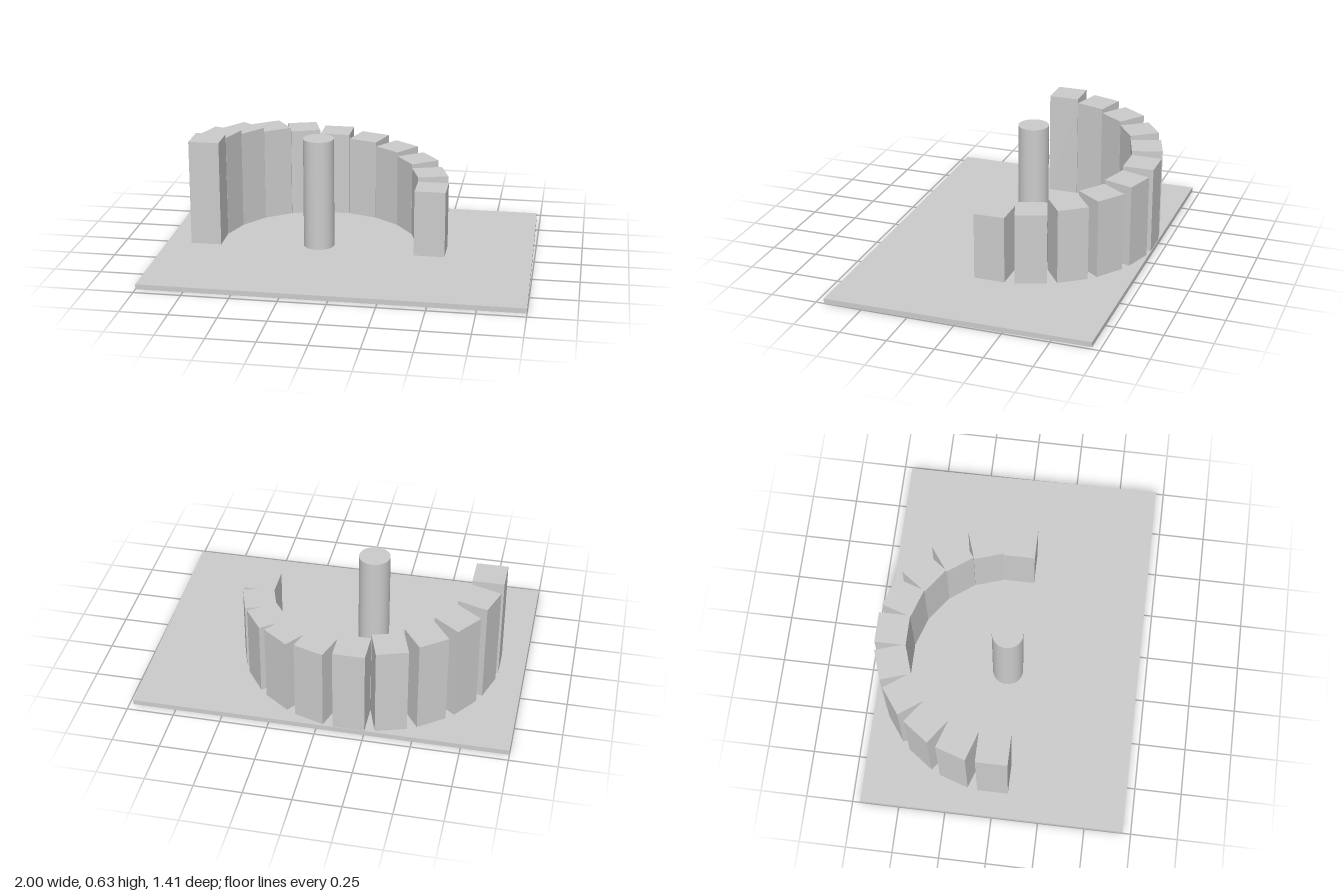
import * as THREE from 'three';

export function createModel() {
  const group = new THREE.Group();
  const material = new THREE.MeshStandardMaterial({ color: 0xcccccc });
  const baseTop = 0.027, cx = -0.17, cz = -0.009;
  const radius = 0.612, width = 0.166, count = 11;

  const add = (name, geometry) => {
    const mesh = new THREE.Mesh(geometry, material);
    mesh.name = name;
    group.add(mesh);
    return mesh;
  };

  // Thin ground slab, its right edge slightly out of square
  const outline = new THREE.Shape([
    new THREE.Vector2(-1, -0.706),
    new THREE.Vector2(1, -0.706),
    new THREE.Vector2(0.98, 0.706),
    new THREE.Vector2(-1, 0.708),
  ]);
  const slab = new THREE.ExtrudeGeometry(outline, { depth: baseTop, bevelEnabled: false });
  slab.rotateX(-Math.PI / 2);
  add('baseSlab', slab);

  // Central round column
  const columnTop = 0.633;
  add('column', new THREE.CylinderGeometry(width / 2, width / 2, columnTop - baseTop, 48))
    .position.set(cx, (columnTop + baseTop) / 2, cz);

  // Half ring of square pillars, stepping down from -x to +x
  for (let i = 0; i < count; i++) {
    const angle = Math.PI * (1 - i / (count - 1));
    const top = 0.605 - 0.0215 * i;
    const pillar = add(`pillar${i + 1}`, new THREE.BoxGeometry(width, top - baseTop, width));
    pillar.position.set(
      cx + radius * Math.cos(angle),
      (top + baseTop) / 2,
      cz - radius * Math.sin(angle)
    );
    pillar.rotation.y = angle;
  }

  return group;
}
